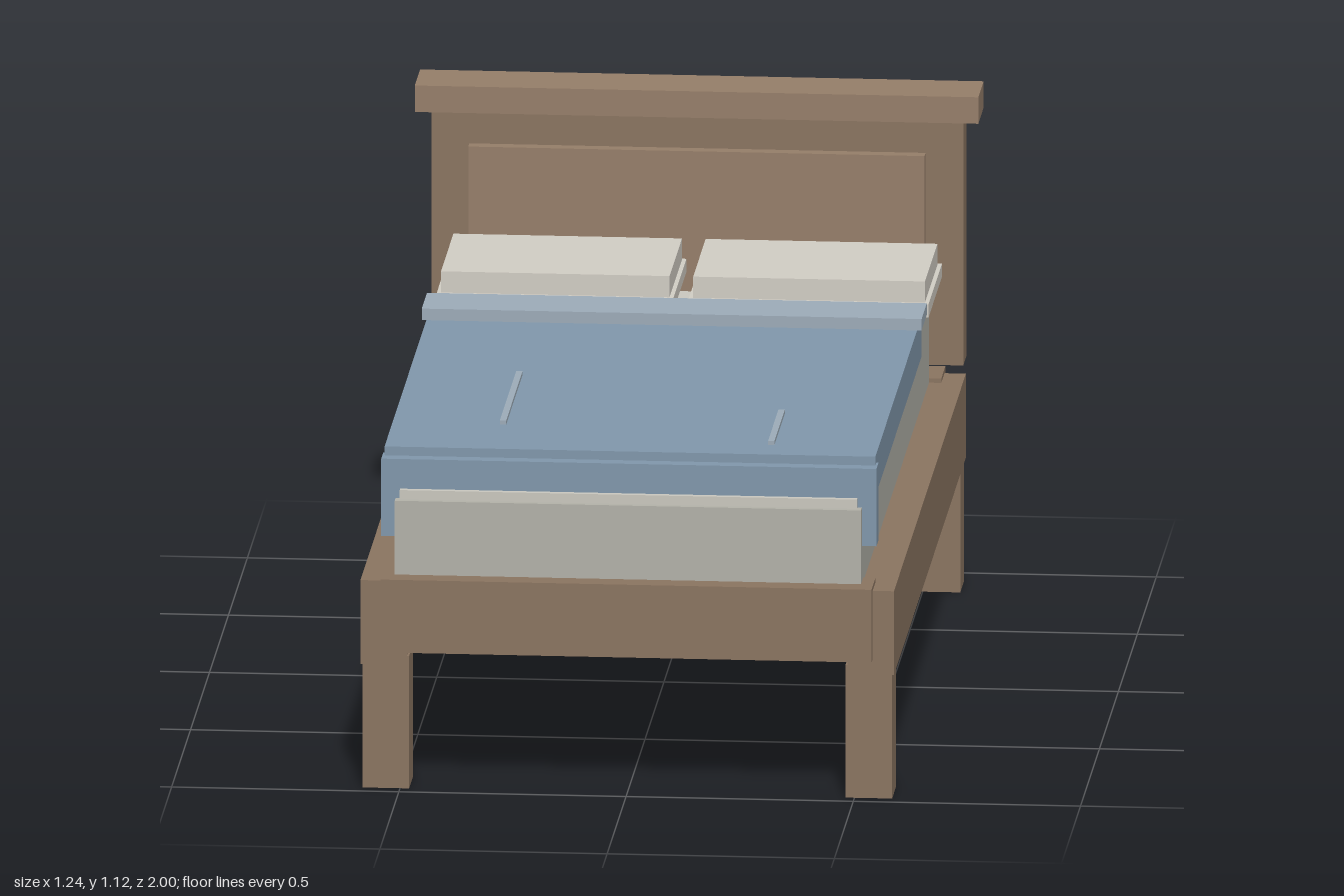
import * as THREE from 'three';

const paint = (color) => new THREE.MeshStandardMaterial({ color, flatShading: true });

export function createModel() {
  const bed = new THREE.Group();
  bed.name = 'bed';

  const wood = paint(0x8a7460);
  const lightWood = paint(0x957e69);
  const mattressCloth = paint(0xb2b1a8);
  const sheetCloth = paint(0xc9c7be);
  const pillowCloth = paint(0xd1cdc4);
  const blanketCloth = paint(0x8097ab);
  const foldCloth = paint(0x9cabb8);

  // Box given by its extents along each axis
  function box(name, material, [x0, x1], [y0, y1], [z0, z1]) {
    const mesh = new THREE.Mesh(new THREE.BoxGeometry(x1 - x0, y1 - y0, z1 - z0), material);
    mesh.position.set((x0 + x1) / 2, (y0 + y1) / 2, (z0 + z1) / 2);
    mesh.name = name;
    bed.add(mesh);
  }
  // Box centred on x = 0
  const centred = (name, material, half, y, z) => box(name, material, [-half, half], y, z);

  // Frame: side rails and legs, mirrored left and right
  for (const [side, s] of [['left', 1], ['right', -1]]) {
    const span = (a, b) => (s > 0 ? [a, b] : [-b, -a]);
    box(side + 'Rail', wood, span(0.485, 0.587), [0.28, 0.47], [-0.93, 0.97]);
    box(side + 'FrontLeg', wood, span(0.48, 0.583), [0, 0.3], [0.867, 0.969]);
    box(side + 'BackLeg', wood, span(0.48, 0.583), [0, 0.3], [-0.929, -0.83]);
  }
  centred('footRail', wood, 0.54, [0.315, 0.48], [0.892, 1.0]);
  centred('headRail', wood, 0.54, [0.315, 0.48], [-0.953, -0.845]);
  centred('platform', wood, 0.49, [0.4, 0.465], [-0.85, 0.9]);

  // Headboard
  centred('headboard', wood, 0.585, [0.5, 1.055], [-0.97, -0.885]);
  centred('headboardPanel', lightWood, 0.502, [0.625, 0.98], [-0.885, -0.857]);
  centred('headboardCap', lightWood, 0.62, [1.055, 1.115], [-1.0, -0.86]);

  // Mattress and sheets
  centred('mattress', mattressCloth, 0.513, [0.465, 0.647], [-0.846, 0.953]);
  centred('mattressTop', sheetCloth, 0.503, [0.647, 0.668], [-0.836, 0.94]);
  centred('sheetFold', sheetCloth, 0.495, [0.668, 0.684], [-0.678, -0.453]);

  // Pillows: wide base with a narrower cushion on top
  for (const [side, x0, x1] of [['left', 0.012, 0.54], ['right', -0.543, -0.022]]) {
    box(side + 'PillowBase', pillowCloth, [x0, x1], [0.706, 0.736], [-0.861, -0.506]);
    box(side + 'PillowTop', pillowCloth, [x0 + 0.009, x1 - 0.009], [0.736, 0.784], [-0.849, -0.52]);
  }

  // Blanket with its hanging end, turned-down fold and creases
  centred('blanket', blanketCloth, 0.54, [0.665, 0.755], [-0.325, 0.897]);
  centred('blanketDrop', blanketCloth, 0.545, [0.56, 0.735], [0.872, 0.927]);
  centred('blanketFold', foldCloth, 0.55, [0.755, 0.781], [-0.343, -0.205]);
  box('rightCrease', foldCloth, [-0.304, -0.29], [0.754, 0.764], [0.253, 0.685]);
  box('leftCrease', foldCloth, [0.297, 0.311], [0.754, 0.764], [0.54, 0.813]);

  return bed;
}
